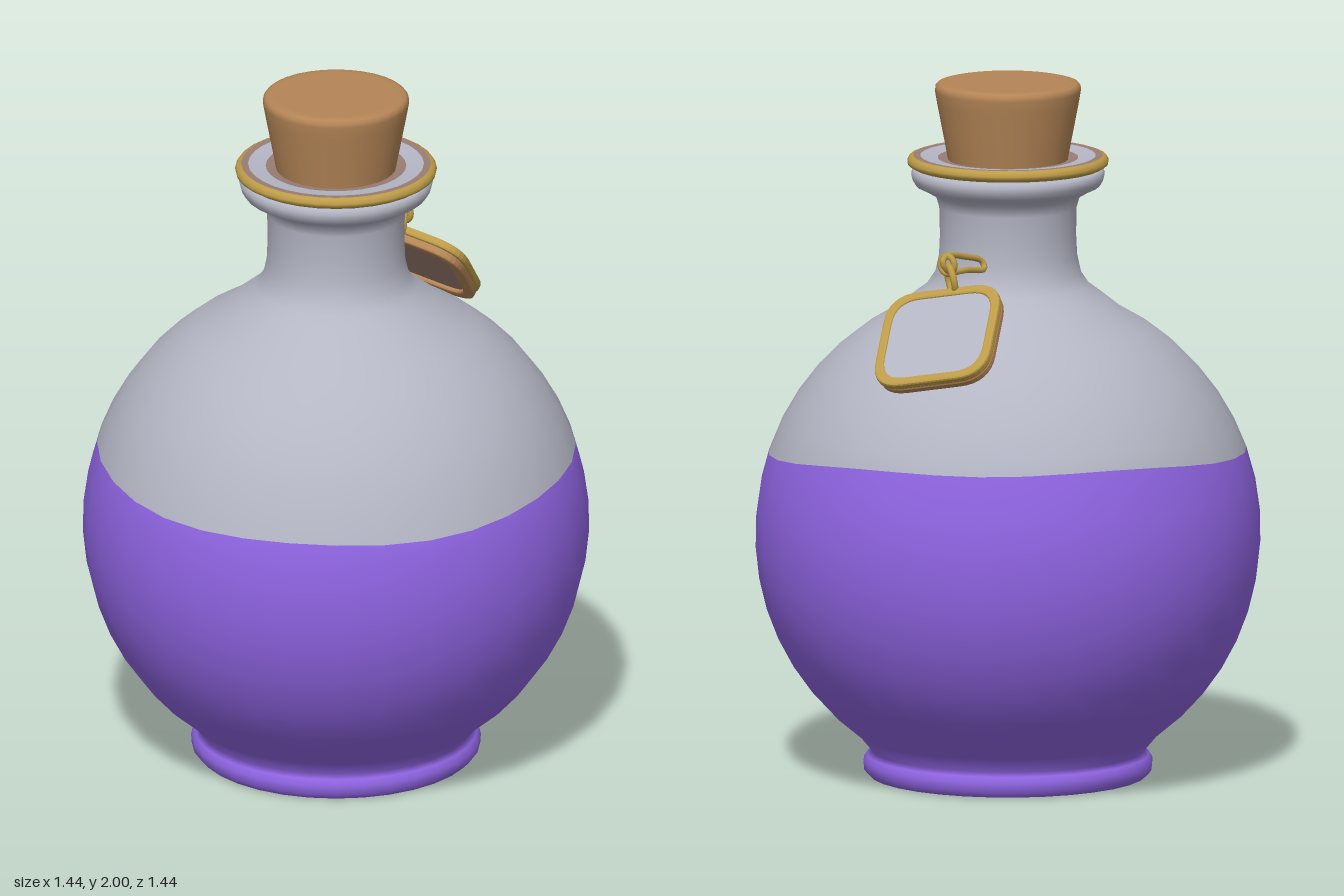
import * as THREE from 'three';

const mat = (name, color, side = THREE.FrontSide) => {
  const m = new THREE.MeshStandardMaterial({ color, side });
  m.name = name;
  return m;
};

export function createModel() {
  const glass = mat('glass', 0xb4b6c4);
  const liquid = mat('liquid', 0x8f64e2);
  const cork = mat('cork', 0xb48556);
  const gold = mat('gold', 0xbd9c48);
  const rose = mat('roseBrown', 0x9a7d73);

  const root = new THREE.Group();
  const add = (name, geo, m, parent = root) => {
    const mesh = new THREE.Mesh(geo, m);
    mesh.name = name;
    parent.add(mesh);
    return mesh;
  };
  const lathe = (pts, seg = 32) =>
    new THREE.LatheGeometry(pts.map(([r, y]) => new THREE.Vector2(r, y)), seg);

  // Bottle: foot, round belly, neck and flared lip in one profile
  const R = 0.72, CY = 0.7, STEPS = 16, SEAM = 10;
  const foot = [[0.34, 0.006], [0.36, 0], [0.395, 0.003], [0.41, 0.02], [0.412, 0.045],
    [0.402, 0.063], [0.388, 0.075]];
  const belly = [];
  for (let k = 0; k <= STEPS; k++) {
    const a = -0.94 + (2.04 * k) / STEPS;
    belly.push([R * Math.cos(a), CY + R * Math.sin(a)]);
  }
  const neck = [[0.272, 1.385], [0.232, 1.415], [0.208, 1.45], [0.197, 1.5], [0.194, 1.56],
    [0.196, 1.64], [0.205, 1.672], [0.235, 1.69], [0.262, 1.703], [0.272, 1.72],
    [0.276, 1.737], [0.268, 1.75], [0.24, 1.752]];
  const profile = [...foot, ...belly, ...neck];
  const bottle = lathe(profile);
  const n = profile.length, seamRow = foot.length + SEAM;

  // Tilt the liquid line slightly, keeping its points on the sphere
  const pos = bottle.attributes.position;
  for (let i = 0; i <= 32; i++) {
    const phi = (i / 32) * Math.PI * 2;
    const s = Math.sin(phi), c = Math.cos(phi);
    const y = 0.935 + 0.032 * (s - c) + 0.005 * Math.sin(phi * 5);
    const r = Math.sqrt(R * R - (y - CY) ** 2);
    pos.setXYZ(i * n + seamRow, r * s, y, r * c);
  }
  // Sort faces into liquid below the line and clear glass above it
  const low = [], high = [], idx = bottle.index.array;
  for (let q = 0; q < idx.length; q += 6) {
    const row = (q / 6) % (n - 1);
    (row < seamRow ? low : high).push(...idx.slice(q, q + 6));
  }
  bottle.setIndex([...low, ...high]);
  bottle.clearGroups();
  bottle.addGroup(0, low.length, 0);
  bottle.addGroup(low.length, high.length, 1);
  add('bottle', bottle, [liquid, glass]);
  add('bottleBase', lathe([[0, 0.006], [0.342, 0.006]]), rose);

  // Gold rim with its rose band and glass mouth
  add('rim', lathe([[0.24, 1.753], [0.272, 1.756], [0.285, 1.764], [0.287, 1.774],
    [0.281, 1.785], [0.27, 1.789]]), gold);
  add('rimBand', lathe([[0.27, 1.789], [0.25, 1.788]]), rose);
  add('mouth', lathe([[0.25, 1.788], [0.2, 1.782]]), glass);
  add('mouthInner', lathe([[0.2, 1.782], [0.15, 1.775]]), rose);

  // Cork stopper
  add('stopper', lathe([[0.168, 1.76], [0.175, 1.8], [0.202, 1.94], [0.208, 1.975],
    [0.207, 1.988], [0.2, 1.996], [0.188, 1.999], [0.17, 2], [0, 2]]), cork);

  // Hanging tag: local x and y lie in its plane, z points up and outward
  const rounded = (w, h, r, T = THREE.Shape) => {
    const s = new T(), x = w / 2, y = h / 2;
    s.moveTo(-x + r, -y);
    s.lineTo(x - r, -y);
    s.quadraticCurveTo(x, -y, x, -y + r);
    s.lineTo(x, y - r);
    s.quadraticCurveTo(x, y, x - r, y);
    s.lineTo(-x + r, y);
    s.quadraticCurveTo(-x, y, -x, y - r);
    s.lineTo(-x, -y + r);
    s.quadraticCurveTo(-x, -y, -x + r, -y);
    return s;
  };
  const tag = new THREE.Group();
  tag.name = 'tag';
  const u = new THREE.Vector3(0.3, -0.18, 0.93).normalize();
  const v = new THREE.Vector3(0.66, -0.7, -0.28);
  v.addScaledVector(u, -v.dot(u)).normalize();
  const w = new THREE.Vector3().crossVectors(u, v);
  tag.quaternion.setFromRotationMatrix(new THREE.Matrix4().makeBasis(u, v, w));
  tag.position.set(0.468, 1.335, -0.147);
  root.add(tag);

  const slab = (shape, depth, z, bevel = 0) => {
    const g = new THREE.ExtrudeGeometry(shape, { depth, curveSegments: 8, bevelEnabled: bevel > 0,
      bevelSize: bevel, bevelThickness: bevel, bevelSegments: 2 });
    return g.translate(0, 0, z);
  };
  const frame = (W, H, r, t) => {
    const s = rounded(W, H, r);
    s.holes.push(rounded(W - 2 * t, H - 2 * t, r - t / 2, THREE.Path));
    return s;
  };
  add('tagEdge', slab(frame(0.345, 0.315, 0.09, 0.02), 0.012, -0.018, 0.006), cork, tag);
  add('tagRim', slab(frame(0.35, 0.32, 0.09, 0.016), 0.012, 0.006, 0.006), gold, tag);
  add('tagFace', slab(rounded(0.33, 0.3, 0.08), 0.015, 0.004), glass, tag);
  add('tagBack', slab(rounded(0.33, 0.3, 0.08), 0.014, -0.012), rose, tag);

  // Chain: a long loop from the neck and a ring through the tag
  const chain = new THREE.Group();
  chain.name = 'chain';
  root.add(chain);
  const loop = new THREE.CatmullRomCurve3([
    [0.19, 1.515, -0.065], [0.26, 1.537, -0.06], [0.34, 1.55, -0.065], [0.372, 1.535, -0.075],
    [0.35, 1.508, -0.08], [0.27, 1.502, -0.08], [0.19, 1.495, -0.075],
  ].map((p) => new THREE.Vector3(...p)), true);
  add('neckLoop', new THREE.TubeGeometry(loop, 40, 0.009, 8, true), gold, chain);
  const ring = add('tagRing', new THREE.TorusGeometry(0.042, 0.01, 8, 24), gold, chain);
  ring.position.set(0.352, 1.484, -0.09);
  ring.rotation.set(0.3, 0.9, 0);
  const knot = add('smallLink', new THREE.TorusGeometry(0.026, 0.009, 8, 20), gold, chain);
  knot.position.set(0.345, 1.525, -0.07);
  knot.rotation.set(0, Math.PI / 2, 0);

  return root;
}
